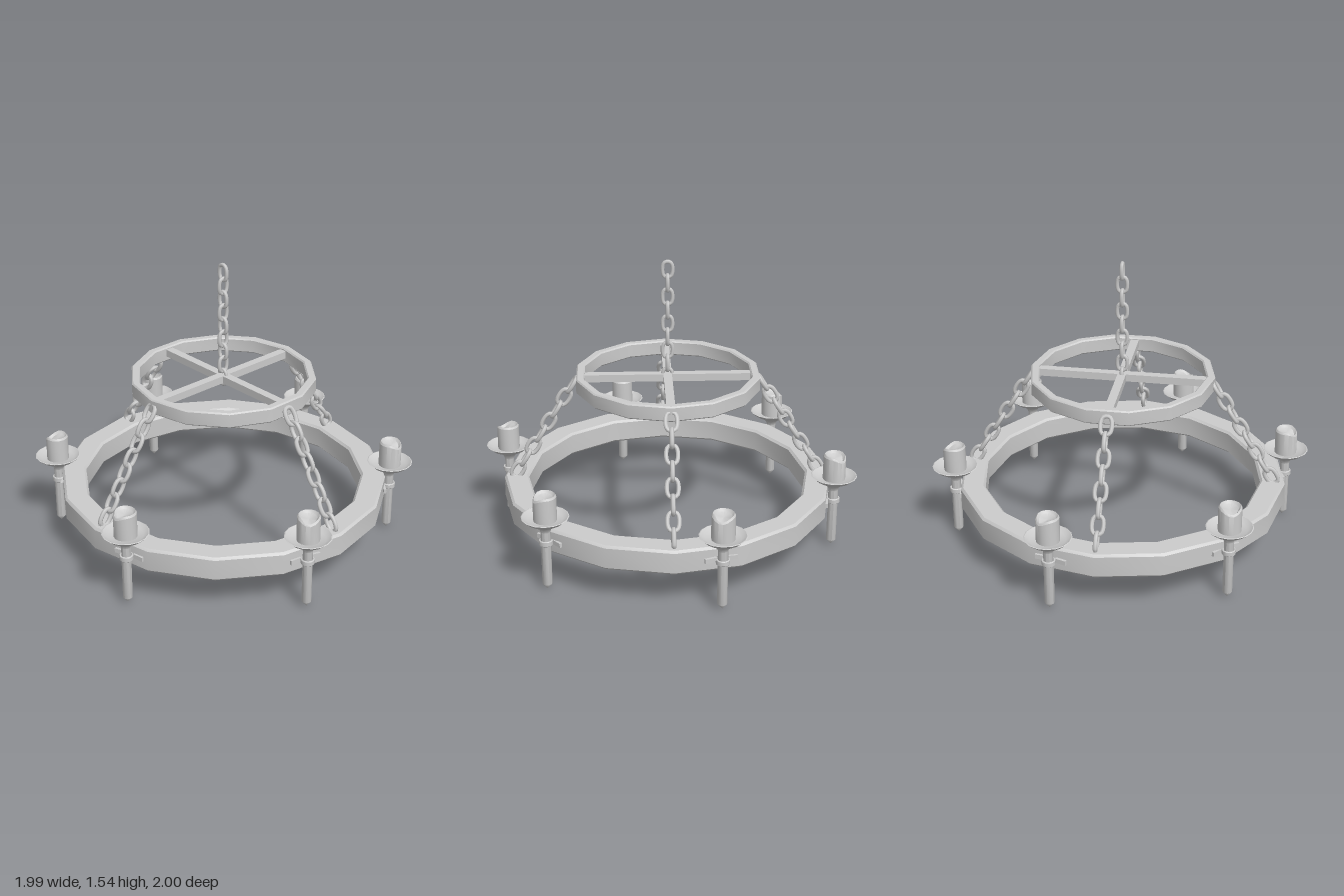
import * as THREE from 'three';
import { toCreasedNormals } from 'three/addons/utils/BufferGeometryUtils.js';

const material = new THREE.MeshStandardMaterial({ color: 0xcccccc, side: THREE.DoubleSide });

function part(name, geometry, parent) {
  const mesh = new THREE.Mesh(geometry, material);
  mesh.name = name;
  parent.add(mesh);
  return mesh;
}

// Revolve [radius, height] pairs, keeping sharp profile corners
function turned(points, sides, crease = 0.55, start = Math.PI / 2) {
  const profile = points.map(([r, y]) => new THREE.Vector2(r, y));
  return toCreasedNormals(new THREE.LatheGeometry(profile, sides, start), crease);
}

// Faceted hoop with a bevelled rectangular section
function hoop(inner, outer, bottom, top, bevel, sides) {
  const b = bevel;
  return turned([
    [inner + b, bottom], [outer - b, bottom], [outer, bottom + b], [outer, top - b],
    [outer - b, top], [inner + b, top], [inner, top - b], [inner, bottom + b], [inner + b, bottom],
  ], sides);
}

// One oval chain link, long axis along y
function linkGeometry() {
  const w = 0.025, h = 0.042;
  const outline = [
    [w, -0.018], [w, 0.018], [0.018, 0.035], [0, h], [-0.018, 0.035],
    [-w, 0.018], [-w, -0.018], [-0.018, -0.035], [0, -h], [0.018, -0.035],
  ].map(([x, y]) => new THREE.Vector3(x, y, 0));
  return new THREE.TubeGeometry(new THREE.CatmullRomCurve3(outline, true), 20, 0.0105, 6, true);
}

// Links running down -y, alternately turned a quarter
function makeChain(name, count) {
  const chain = new THREE.Group();
  chain.name = name;
  const geometry = linkGeometry();
  for (let i = 0; i < count; i++) {
    const link = part('chainLink', geometry, chain);
    link.position.y = -i * 0.0737;
    link.rotation.y = i % 2 ? 0 : Math.PI / 2;
  }
  return chain;
}

// Candle with a hollow top and a melted dip on its rim
function candleGeometry() {
  const geometry = new THREE.LatheGeometry(
    [[0.06, 0.385], [0.06, 0.525], [0.053, 0.535], [0.042, 0.522], [0, 0.51]]
      .map(([r, y]) => new THREE.Vector2(r, y)), 16);
  const p = geometry.attributes.position;
  for (let i = 0; i < p.count; i++) {
    const x = p.getX(i), z = p.getZ(i);
    if (p.getY(i) < 0.515) continue;
    const dip = Math.pow(Math.max(0, Math.cos(Math.atan2(z, x) - 0.5)), 3);
    p.setY(i, p.getY(i) - 0.025 * dip);
  }
  return toCreasedNormals(geometry, 0.6);
}

// Spike, drip pan, candle and clamp; local +x points away from the ring
function makeHolder() {
  const holder = new THREE.Group();
  holder.name = 'candleHolder';
  part('spike', turned([[0, 0], [0.026, 0.03], [0.026, 0.33], [0.034, 0.35], [0.06, 0.372]], 10, 0.7), holder);
  part('dripPan', turned([
    [0.03, 0.35], [0.065, 0.374], [0.095, 0.389], [0.122, 0.413], [0.117, 0.415], [0.09, 0.397], [0, 0.39],
  ], 16, 0.6), holder);
  part('candle', candleGeometry(), holder);
  part('clampBand', hoop(0.026, 0.036, 0.255, 0.283, 0.003, 12), holder);
  for (const side of [-1, 1]) {
    const wing = part('clampWing', new THREE.BoxGeometry(0.014, 0.024, 0.06), holder);
    wing.position.set(-0.026, 0.269, side * 0.055);
    wing.rotation.y = side * 0.1;
  }
  return holder;
}

export function createModel() {
  const model = new THREE.Group();
  model.name = 'chandelier';

  // Large lower ring and small upper ring
  part('lowerRing', hoop(0.755, 0.888, 0.2, 0.333, 0.012, 16), model);
  part('upperRing', hoop(0.45, 0.495, 0.85, 0.932, 0.007, 14), model);

  // Crossed bars in the upper ring
  for (const turn of [0, Math.PI / 2]) {
    const bar = part('crossBar', new THREE.BoxGeometry(0.92, 0.04, 0.045), model);
    bar.position.y = 0.9;
    bar.rotation.y = turn;
  }

  // Central hanging chain
  const mainChain = makeChain('hangingChain', 9);
  mainChain.position.y = 1.493;
  model.add(mainChain);

  // Four sloping chains joining the rings
  for (let i = 0; i < 4; i++) {
    const arm = new THREE.Group();
    arm.name = 'slopingChainArm';
    arm.rotation.y = i * Math.PI / 2;
    const chain = makeChain('slopingChain', 8);
    chain.position.set(0.508, 0.86, 0);
    chain.rotation.z = Math.atan2(0.0435, 0.0705);
    chain.scale.setScalar(1.124);
    arm.add(chain);
    model.add(arm);
  }

  // Six candle holders around the lower ring
  for (let i = 0; i < 6; i++) {
    const angle = THREE.MathUtils.degToRad(15.3 + i * 60);
    const holder = makeHolder();
    holder.position.set(0.907 * Math.cos(angle), 0, -0.907 * Math.sin(angle));
    holder.rotation.y = angle;
    model.add(holder);
  }
  return model;
}
